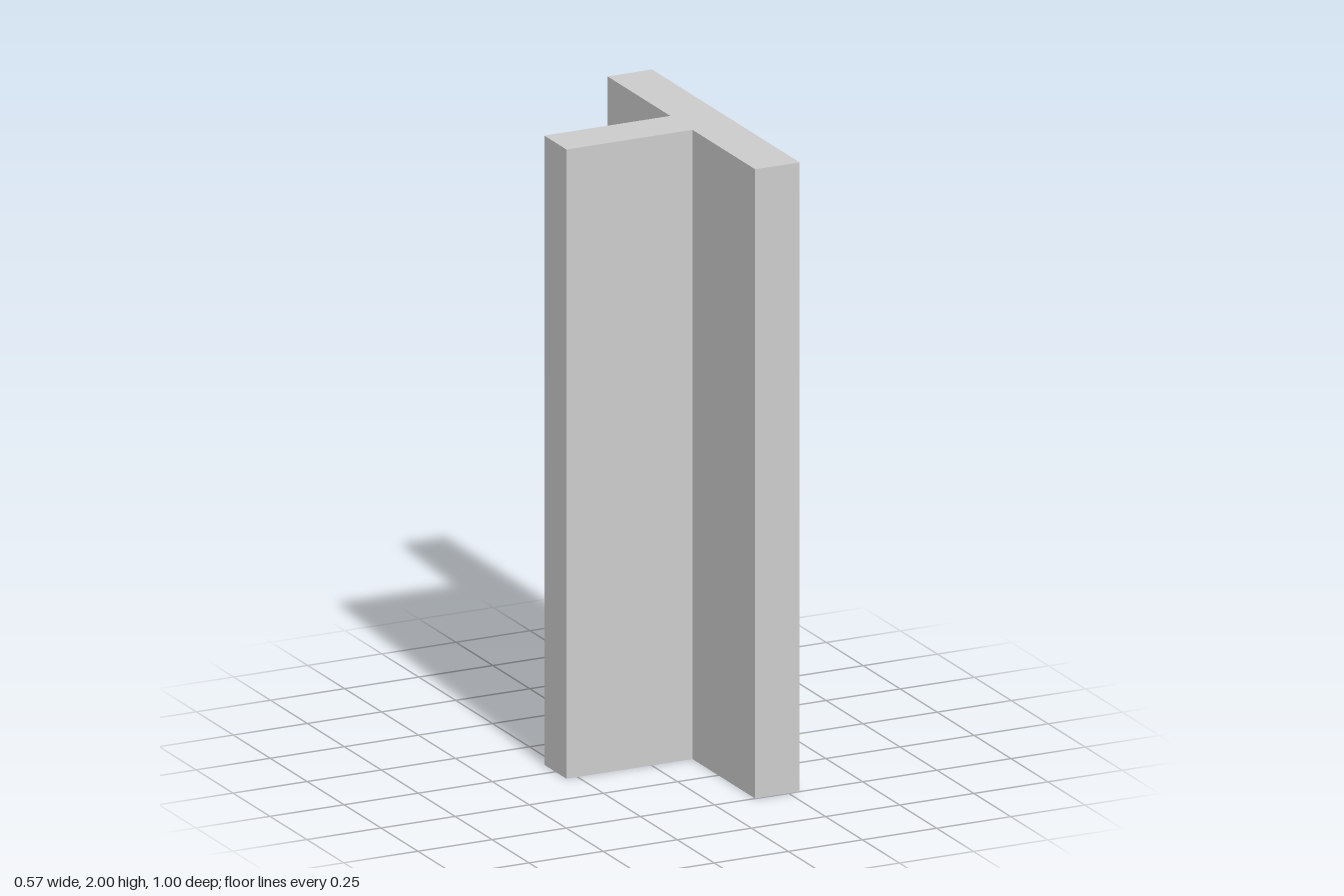
import * as THREE from 'three';

export function createModel() {
  const group = new THREE.Group();
  const height = 2;
  const web = -0.2875, inner = 0.1375, outer = 0.2875; // x limits
  const halfWeb = 0.075, halfFlange = 0.5; // z half-widths

  // T-shaped plan, mirrored about the web's centre line
  const half = [[web, halfWeb], [inner, halfWeb], [inner, halfFlange], [outer, halfFlange]];
  const mirrored = half.map(([x, z]) => [x, -z]).reverse();
  const plan = new THREE.Shape([...half, ...mirrored].map(([x, z]) => new THREE.Vector2(x, z)));

  // Raise the plan into an upright T-section beam
  const geometry = new THREE.ExtrudeGeometry(plan, { depth: height, bevelEnabled: false });
  geometry.rotateX(-Math.PI / 2);

  const material = new THREE.MeshStandardMaterial({ color: 0xcccccc, flatShading: true });
  const beam = new THREE.Mesh(geometry, material);
  beam.name = 'teeBeam';
  group.add(beam);
  return group;
}
